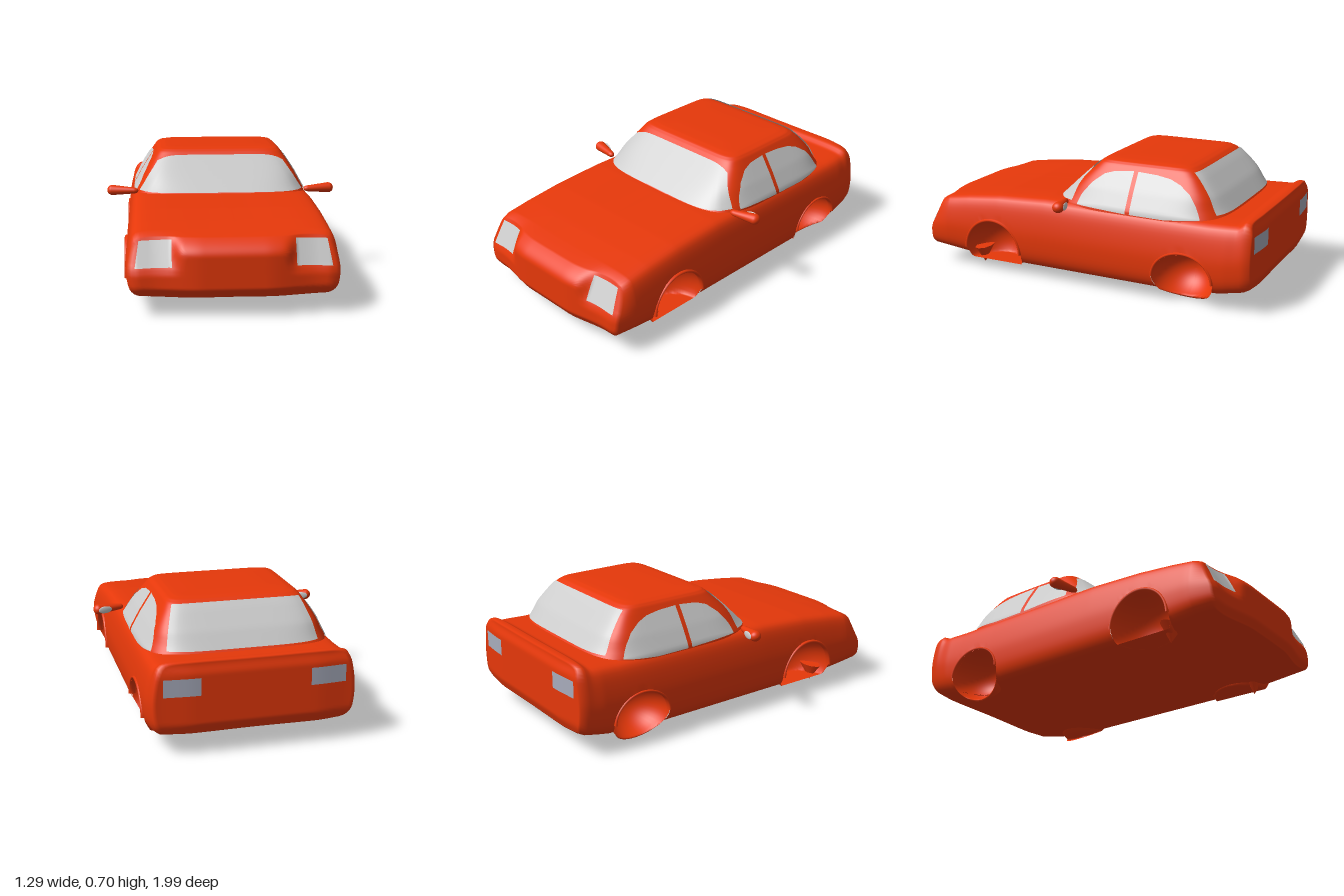
import * as THREE from 'three';

const paint = new THREE.MeshStandardMaterial({ color: 0xe6380a });
const paintThin = new THREE.MeshStandardMaterial({ color: 0xe6380a, side: THREE.DoubleSide });
const glass = new THREE.MeshStandardMaterial({ color: 0xcccccc, side: THREE.DoubleSide });
const tailGlass = new THREE.MeshStandardMaterial({ color: 0xa8acbc, side: THREE.DoubleSide });

const step = THREE.MathUtils.smoothstep;

// Piecewise linear lookup in a list of [key, value...], keys ascending
function lookup(table, k, col = 1) {
  let i = 0;
  while (i < table.length - 2 && k > table[i + 1][0]) i++;
  const a = table[i], b = table[i + 1];
  const t = THREE.MathUtils.clamp((k - a[0]) / (b[0] - a[0]), 0, 1);
  return a[col] + (b[col] - a[col]) * t;
}

function mesh(name, geometry, material) {
  const m = new THREE.Mesh(geometry, material);
  m.name = name;
  return m;
}

// Skin over closed rings of points; keep() can leave out triangles
function loft(rings, keep = () => true) {
  const n = rings[0].length, pts = rings.flat(), index = [];
  for (let i = 0; i < rings.length - 1; i++) {
    for (let j = 0; j < n; j++) {
      const a = i * n + j, b = i * n + (j + 1) % n, c = a + n, d = b + n;
      for (const t of [[a, c, b], [b, c, d]]) if (keep(t.map(k => pts[k]))) index.push(...t);
    }
  }
  const g = new THREE.BufferGeometry().setFromPoints(pts);
  g.setIndex(index);
  g.computeVertexNormals();
  return g;
}

// Curved pane from a function of u and v in 0..1
function pane(fn, nu = 32, nv = 14) {
  const g = new THREE.PlaneGeometry(1, 1, nu, nv), p = g.attributes.position;
  for (let i = 0; i < p.count; i++) p.setXYZ(i, ...fn(p.getX(i) + 0.5, p.getY(i) + 0.5));
  g.computeVertexNormals();
  return g;
}

// Wheel wells: centre y, z, radii, and the lowest height of the liner
const RIM = 0.522;
const wells = [
  { name: 'Front', y: 0.13, z: 0.52, ry: 0.18, rz: 0.178, rx: 0.205, floor: 0.06 },
  { name: 'Rear', y: 0.145, z: -0.62, ry: 0.145, rz: 0.17, rx: 0.205, floor: 0 },
];
function wellDistance(w, p) {
  const dx = Math.min(0, Math.abs(p.x) - RIM) / w.rx;
  return Math.hypot(dx, (p.y - w.y) / w.ry, (p.z - w.z) / w.rz);
}

// Lower body: half cross-section as width and height fractions
const section = new THREE.CatmullRomCurve3([
  [0, 0], [0.78, 0], [0.92, 0.03], [0.975, 0.14], [1, 0.4], [0.99, 0.62],
  [0.95, 0.88], [0.915, 0.965], [0.85, 1], [0, 1.015],
].map(([x, y]) => new THREE.Vector3(x, y * 0.7, 0)), false, 'centripetal').getSpacedPoints(70);
const outline = [...section, ...section.slice(1, -1).reverse().map(p => new THREE.Vector3(-p.x, p.y, 0))];
const topLine = [[-0.96, 0.484], [-0.935, 0.48], [-0.905, 0.458], [-0.75, 0.452], [0.2, 0.458],
  [0.5, 0.442], [0.7, 0.42], [0.835, 0.4], [1, 0.37]];
const bottomLine = [[-0.95, 0.11], [-0.8, 0.082], [-0.5, 0.062], [0.4, 0.065], [0.7, 0.08], [0.9, 0.1]];
const widthLine = [[-0.95, 0.524], [-0.85, 0.533], [0.8, 0.533], [0.9, 0.53]];

// Bowed nose, with the lamps set back and sloping
function noseZ(x, y) {
  const ax = Math.abs(x), k = step(ax, 0.25, 0.32), d = Math.max(0, y - 0.3);
  return 0.995 - 0.038 * step(ax, 0.15, 0.42) - k * (0.012 * step(y, 0.2, 0.25) + 0.5 * Math.max(0, y - 0.24))
    - (1 - k) * 10 * d * d - 0.03 * (1 - step(y, 0.09, 0.15)) - 0.02 * step(ax, 0.47, 0.53);
}
function tailZ(x, y) {
  return -0.992 + 0.014 * step(Math.abs(x), 0.3, 0.52) + 0.015 * step(y, 0.42, 0.48)
    + 0.022 * (1 - step(y, 0.1, 0.18));
}

function bodyGeometry() {
  const ring = (w, b, t, z) => outline.map(p => new THREE.Vector3(p.x * w, b + p.y / 0.7 * (t - b), z));
  const cap = (w, b, t, s, fn) => ring(w, b, t, 0).map(p => {
    p.x *= s;
    p.y = 0.25 + (p.y - 0.25) * s;
    p.z = fn(p.x, p.y);
    return p;
  });
  const scales = Array.from({ length: 25 }, (_, i) => i / 24);
  const rings = scales.map(s => cap(0.524, 0.1, 0.385, s, noseZ));
  for (let i = 0; i <= 130; i++) {
    const z = 0.835 - 1.775 * i / 130;
    rings.push(ring(lookup(widthLine, z), lookup(bottomLine, z), lookup(topLine, z), z));
  }
  rings.push(...scales.reverse().map(s => cap(0.517, 0.12, 0.482, s, tailZ)));
  // Pull nearby side points onto the arch edge, then open the arches
  for (const p of rings.flat()) for (const w of wells) {
    const d = wellDistance(w, p);
    if (Math.abs(p.x) > 0.45 && Math.abs(d - 1) < 0.06) {
      p.y = w.y + (p.y - w.y) / d;
      p.z = w.z + (p.z - w.z) / d;
    }
  }
  return loft(rings, t => !wells.some(w => t.every(p => wellDistance(w, p) < 1.003)));
}

// Cabin: y, front z, rear z, half width
const cabinLine = [[0.42, 0.21, -0.83, 0.494], [0.46, 0.18, -0.8, 0.488], [0.55, 0.078, -0.735, 0.438],
  [0.64, -0.022, -0.652, 0.38], [0.67, -0.05, -0.62, 0.36], [0.684, -0.07, -0.595, 0.342],
  [0.692, -0.11, -0.56, 0.305], [0.696, -0.2, -0.46, 0.2], [0.697, -0.33, -0.33, 0]];
// Half-depth, centre, half-width and corner power of the cabin at a height
function cabinAt(y) {
  const f = lookup(cabinLine, y, 1), r = lookup(cabinLine, y, 2);
  return { c: (f + r) / 2, h: (f - r) / 2, w: lookup(cabinLine, y, 3), n: 5 + 4 * step(y, 0.46, 0.66) };
}
const bulge = (t, n) => Math.pow(Math.max(0, 1 - Math.pow(Math.abs(t), n)), 1 / n);

function cabinGeometry() {
  const power = (v, n) => Math.sign(v) * Math.pow(Math.abs(v), 2 / n);
  const levels = [0.42];
  cabinLine.slice(1).forEach(([y], i) => {
    const y0 = cabinLine[i][0];
    for (let k = 1; k <= 4; k++) levels.push(y0 + (y - y0) * k / 4);
  });
  return loft(levels.map(y => {
    const { c, h, w, n } = cabinAt(y);
    return Array.from({ length: 160 }, (_, j) => {
      const a = j / 160 * Math.PI * 2;
      return new THREE.Vector3(w * power(Math.cos(a), n), y, c + h * power(Math.sin(a), n));
    });
  }));
}

// Front or rear screen lying on the cabin surface
function screen(end, y0, y1, spread0, spread1, round) {
  return pane((u, v) => {
    const s = u * 2 - 1, top = y1 - round * s ** 10, y = y0 + (top - y0) * v;
    const { c, h, w, n } = cabinAt(y), t = s * (spread0 + (spread1 - spread0) * v);
    return [t * w, y + 0.004, c + end * (h * bulge(t, n) + 0.005)];
  });
}

// Side window between a lower and an upper edge, given along z
function sideWindow(side, upper, lower) {
  const z0 = upper[0][0], z1 = upper[upper.length - 1][0];
  return pane((u, v) => {
    const z = z0 + (z1 - z0) * u, a = lookup(lower, z), y = a + (lookup(upper, z) - a) * v;
    const { c, h, w, n } = cabinAt(y);
    return [side * (w * bulge((z - c) / h, n) + 0.006), y, z];
  });
}

// Bowl-shaped liner, drawn inwards below the sill (more so at the left rear)
function linerGeometry(w, side) {
  const g = new THREE.SphereGeometry(1, 40, 20, 0, Math.PI * 2, 0, Math.PI / 2)
    .rotateZ(side * Math.PI / 2).scale(w.rx, w.ry, w.rz).translate(side * RIM, w.y, w.z);
  const p = g.attributes.position, tuck = side > 0 ? 1.2 : 0.2;
  for (let i = 0; i < p.count; i++) {
    const y = Math.max(p.getY(i), w.floor);
    const reach = RIM - 0.5 * Math.max(0, 0.13 - y) - tuck * Math.max(0, 0.06 - y);
    p.setY(i, y);
    p.setX(i, side * Math.min(Math.abs(p.getX(i)), reach));
  }
  g.computeVertexNormals();
  return g;
}

export function createModel() {
  const car = new THREE.Group();
  car.name = 'car';
  car.add(mesh('body', bodyGeometry(), paint));
  car.add(mesh('cabin', cabinGeometry(), paint));
  car.add(mesh('windscreen', screen(1, 0.466, 0.652, 0.955, 0.92, 0.03), glass));
  car.add(mesh('rearWindow', screen(-1, 0.468, 0.668, 0.82, 0.93, 0.004), glass));

  for (const side of [1, -1]) {
    const label = side > 0 ? 'left' : 'right';

    // Side windows
    car.add(mesh(label + 'FrontWindow', sideWindow(side,
      [[-0.285, 0.648], [-0.18, 0.64], [-0.12, 0.622], [-0.06, 0.575], [-0.01, 0.51], [0.003, 0.468]],
      [[-0.285, 0.443], [0.003, 0.458]]), glass));
    car.add(mesh(label + 'RearWindow', sideWindow(side,
      [[-0.69, 0.462], [-0.66, 0.52], [-0.62, 0.57], [-0.56, 0.61], [-0.5, 0.632], [-0.42, 0.643], [-0.31, 0.648]],
      [[-0.69, 0.456], [-0.5, 0.441], [-0.31, 0.443]]), glass));

    // Lamps
    car.add(mesh(label + 'Headlamp', pane((u, v) => {
      const x = side * (0.305 + (0.16 + 0.02 * (1 - v)) * u), y = 0.243 + 0.007 * (1 - u) + 0.125 * v;
      return [x, y, noseZ(x, y) + 0.006];
    }), glass));
    car.add(mesh(label + 'TailLamp', pane((u, v) => {
      const x = side * (0.28 + 0.185 * u), y = 0.32 + 0.09 * v;
      return [x, y, tailZ(x, y) - 0.005];
    }), tailGlass));

    // Door mirror with its glass
    const mirror = new THREE.Group();
    mirror.name = label + 'Mirror';
    const shell = new THREE.CapsuleGeometry(0.029, 0.12, 8, 20).rotateZ(Math.PI / 2);
    const p = shell.attributes.position;
    for (let i = 0; i < p.count; i++) {
      const k = 0.6 + 0.4 * step(p.getX(i) * side, -0.06, 0.02);
      p.setY(i, p.getY(i) * k);
      p.setZ(i, p.getZ(i) * k * 1.1);
    }
    shell.computeVertexNormals();
    const mirrorGlass = mesh('mirrorGlass', new THREE.SphereGeometry(1, 20, 12), glass);
    mirrorGlass.scale.set(0.04, 0.02, 0.006);
    mirrorGlass.position.set(side * 0.03, 0, -0.029);
    mirror.add(mesh('mirrorShell', shell, paint), mirrorGlass);
    mirror.position.set(side * 0.558, 0.469, 0.055);
    mirror.rotation.y = side * 0.22;
    car.add(mirror);

    // Wheel wells with a thin lip around the arch
    for (const w of wells) {
      car.add(mesh(label + w.name + 'WheelWell', linerGeometry(w, side), paintThin));
      const lip = new THREE.TorusGeometry(1, 0.05, 8, 40, Math.PI)
        .rotateY(Math.PI / 2).scale(0.36, w.ry * 0.98, w.rz * 0.98).translate(side * RIM, w.y, w.z);
      car.add(mesh(label + w.name + 'ArchLip', lip, paint));
    }

    // Hanging liner flap behind the front bumper
    const flap = mesh(label + 'LinerFlap', new THREE.ConeGeometry(0.06, 0.1, 9), paint);
    flap.rotation.x = Math.PI;
    flap.scale.set(1.3, 1, 0.7);
    flap.position.set(side * 0.42, 0.065, 0.645);
    car.add(flap);
  }
  return car;
}
